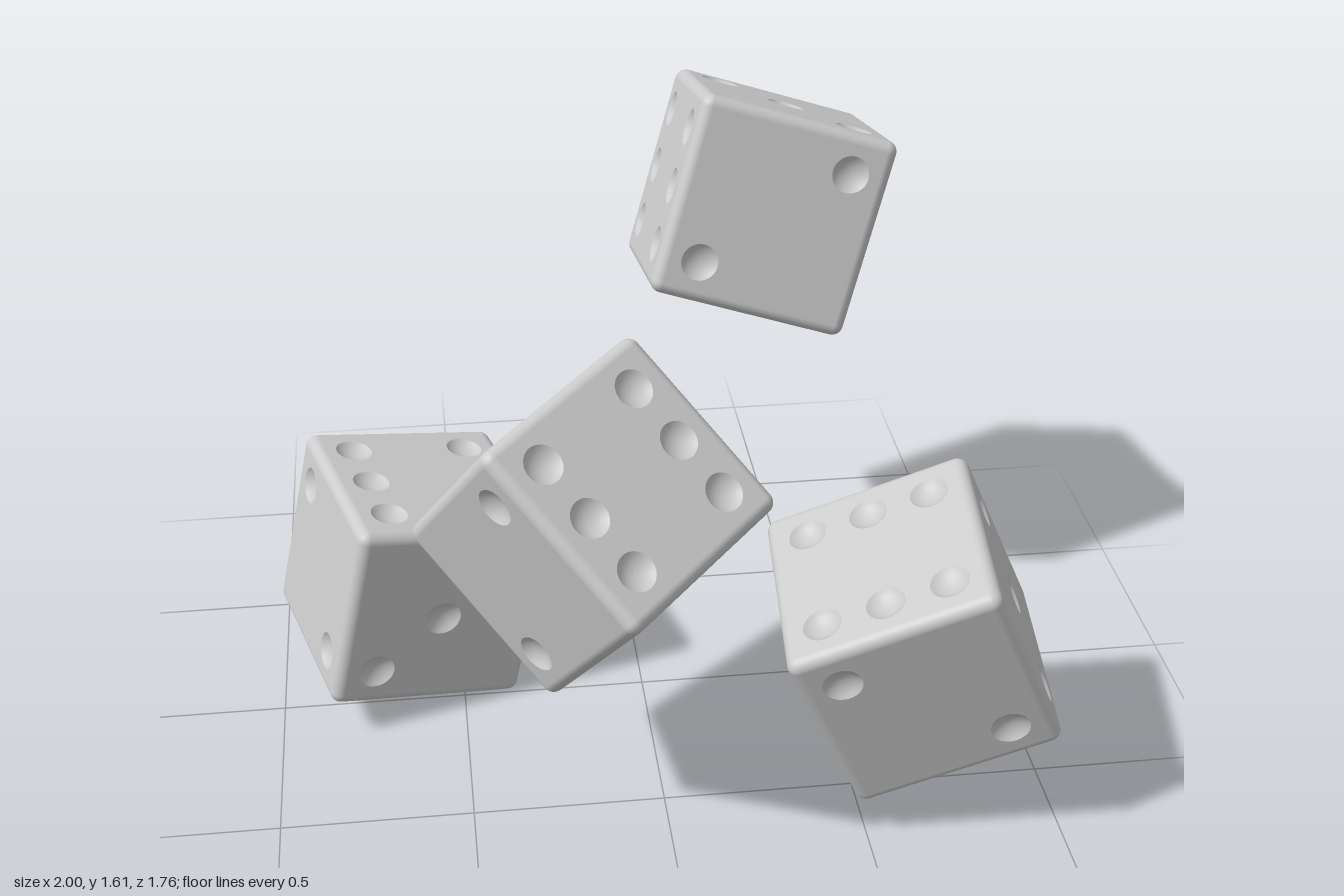
import * as THREE from 'three';
import { mergeGeometries } from 'three/addons/utils/BufferGeometryUtils.js';
import { RoundedBoxGeometry } from 'three/addons/geometries/RoundedBoxGeometry.js';

const SIZE = 0.545, HALF = SIZE / 2, ROUND = 0.03;
const PIP_RADIUS = 0.05, PIP_DEPTH = 0.02, PIP_SPACING = 0.163;

// Pip layouts per face, with the turn that brings the face from +z into place
const FOUR = [[-1, -1], [1, -1], [-1, 1], [1, 1]];
const FACES = [
  { pips: [[-1, 1], [1, -1]], rx: 0, ry: 0 },
  { pips: [...FOUR, [0, 0]], rx: 0, ry: Math.PI },
  { pips: [[1, 1], [0, 0], [-1, -1]], rx: 0, ry: Math.PI / 2 },
  { pips: FOUR, rx: 0, ry: -Math.PI / 2 },
  { pips: [...FOUR, [0, 1], [0, -1]], rx: -Math.PI / 2, ry: 0 },
  { pips: [[0, 0]], rx: Math.PI / 2, ry: 0 },
];

// Rounded edges and corners only: drop the flat middle of every side
function roundedFrame() {
  const box = new RoundedBoxGeometry(SIZE, SIZE, SIZE, 5, ROUND);
  const g = box.index ? box.toNonIndexed() : box;
  const n = g.attributes.normal, p = g.attributes.position;
  const pos = [], nor = [], uv = [];
  const isFlat = (i) => ['getX', 'getY', 'getZ'].some((get) =>
    [0, 1, 2].every((k) => Math.abs(n[get](i + k)) > 0.9999));
  for (let i = 0; i < p.count; i += 3) {
    if (isFlat(i)) continue;
    for (let k = i; k < i + 3; k++) {
      pos.push(p.getX(k), p.getY(k), p.getZ(k));
      nor.push(n.getX(k), n.getY(k), n.getZ(k));
      uv.push(0, 0);
    }
  }
  const out = new THREE.BufferGeometry();
  out.setAttribute('position', new THREE.Float32BufferAttribute(pos, 3));
  out.setAttribute('normal', new THREE.Float32BufferAttribute(nor, 3));
  out.setAttribute('uv', new THREE.Float32BufferAttribute(uv, 2));
  return out;
}

// Shallow spherical bowl, opening towards +z
function pipBowl() {
  const R = (PIP_RADIUS ** 2 + PIP_DEPTH ** 2) / (2 * PIP_DEPTH);
  const span = Math.asin(PIP_RADIUS / R);
  const profile = [];
  for (let i = 0; i <= 6; i++) {
    const a = span * (1 - i / 6);
    profile.push(new THREE.Vector2(R * Math.sin(a), R - PIP_DEPTH - R * Math.cos(a)));
  }
  return new THREE.LatheGeometry(profile, 32).rotateX(Math.PI / 2).toNonIndexed();
}

// One flat side with round holes, each filled by a bowl
function dieFace({ pips, rx, ry }) {
  const f = HALF - ROUND;
  const shape = new THREE.Shape([[-f, -f], [f, -f], [f, f], [-f, f]]
    .map(([x, y]) => new THREE.Vector2(x, y)));
  const parts = [];
  for (const [a, b] of pips) {
    const x = a * PIP_SPACING, y = b * PIP_SPACING;
    shape.holes.push(new THREE.Path().absarc(x, y, PIP_RADIUS, 0, Math.PI * 2, true));
    parts.push(pipBowl().translate(x, y, 0));
  }
  parts.push(new THREE.ShapeGeometry(shape, 16).toNonIndexed());
  return mergeGeometries(parts).translate(0, 0, HALF).rotateX(rx).rotateY(ry);
}

// Tumbling dice: centre, direction of the three side, direction of the six side
const DICE = [
  { name: 'upperBackDie', at: [0.387, 1.231, -0.547], three: [0.297, 0.927, -0.226], six: [-0.944, 0.322, -0.07] },
  { name: 'lowerLeftDie', at: [0.633, 0.495, 0.492], three: [0.91, 0.396, 0.12], six: [-0.392, 0.914, 0.106] },
  { name: 'lowerRightDie', at: [-0.625, 0.333, -0.195], three: [0.281, -0.04, 0.96], six: [0.213, 0.977, -0.022] },
  { name: 'middleDie', at: [-0.178, 0.857, 0.433], three: [0.604, -0.637, 0.47], six: [0.33, 0.755, 0.567] },
];

export function createModel() {
  const group = new THREE.Group();
  group.name = 'tumblingDice';
  const material = new THREE.MeshStandardMaterial({ color: 0xcccccc });
  const geometry = mergeGeometries([roundedFrame(), ...FACES.map(dieFace)]);
  for (const { name, at, three, six } of DICE) {
    const x = new THREE.Vector3(...three).normalize();
    const z = x.clone().cross(new THREE.Vector3(...six)).normalize();
    const y = z.clone().cross(x);
    const die = new THREE.Mesh(geometry, material);
    die.name = name;
    die.quaternion.setFromRotationMatrix(new THREE.Matrix4().makeBasis(x, y, z));
    die.position.set(...at);
    group.add(die);
  }
  return group;
}
